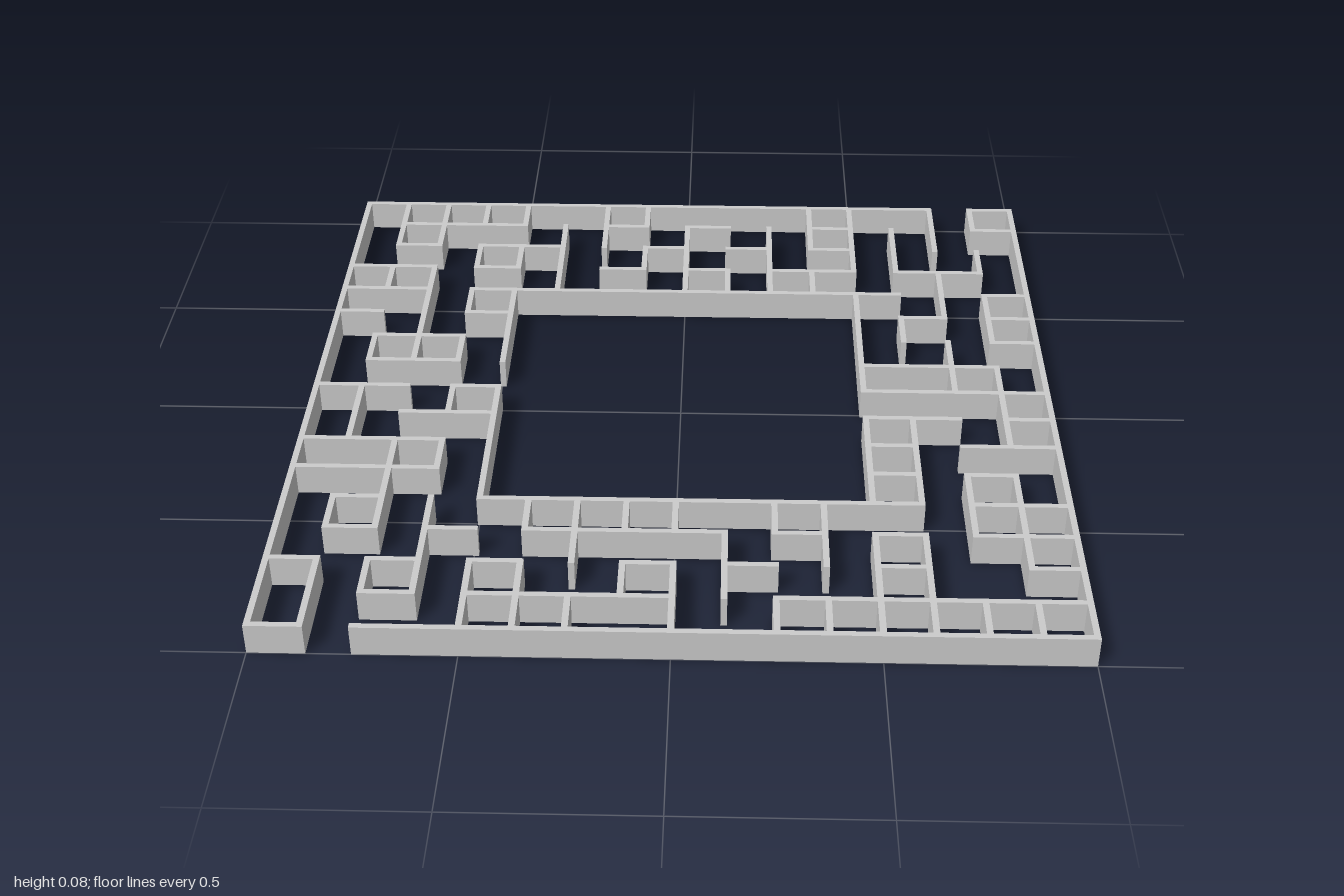
import * as THREE from 'three';

const CELLS = 16, T = 0.016, H = 0.083;
const PITCH = (2 - T) / CELLS;

// Wall runs per grid line, as "from-to" in cell units.
// Lines along x, from the back to the front.
const ROWS = [
  '0-14 15-16',
  '1-4 6-7 8-9 11-12 15-16',
  '1-2 3-5 7-8 9-10 11-12',
  '0-2 3-4 6-7 8-9 10-12 13-15',
  '0-2 3-13 15-16',
  '0-1 3-4 13-14 15-16',
  '1-3 15-16',
  '1-3 12-15',
  '0-2 3-4 12-16',
  '2-4 12-14 15-16',
  '0-3 12-13 14-16',
  '0-3 12-13 14-15',
  '1-2 4-13 14-16',
  '1-2 3-4 5-9 10-11 12-13 14-16',
  '0-1 2-3 4-5 7-8 9-10 12-13 15-16',
  '2-3 4-8 10-16',
  '0-1 2-16',
];

// Lines along z, from -x to +x.
const COLUMNS = [
  '0-16',
  '0-2 3-4 6-7 8-10 12-13 14-16',
  '0-2 3-7 10-13 14-15',
  '0-1 2-3 4-5 6-7 8-9 10-11 12-15',
  '0-1 2-3 4-7 8-12 14-16',
  '1-4 12-13 14-16',
  '0-2 12-14 15-16',
  '0-1 2-3 12-13 14-15',
  '1-4 12-13 14-16',
  '3-4 13-15',
  '1-4 12-13 15-16',
  '0-2 3-4 12-14 15-16',
  '0-3 4-8 9-12 13-16',
  '1-3 5-6 9-12 13-16',
  '0-2 3-5 6-8 11-13 15-16',
  '0-1 2-3 4-6 7-10 11-14 15-16',
  '0-16',
];

const at = (i) => (i - CELLS / 2) * PITCH;

export function createModel() {
  const maze = new THREE.Group();
  maze.name = 'maze';
  const material = new THREE.MeshStandardMaterial({ color: 0xcccccc });

  // One group of straight walls per direction; ends overlap at the corners
  const addWalls = (lines, alongX) => {
    const group = new THREE.Group();
    group.name = alongX ? 'crossWalls' : 'lengthWalls';
    lines.forEach((line, i) => {
      for (const run of line.split(' ')) {
        const [from, to] = run.split('-').map(Number);
        const length = (to - from) * PITCH + T;
        const middle = at((from + to) / 2);
        const wall = new THREE.Mesh(
          new THREE.BoxGeometry(alongX ? length : T, H, alongX ? T : length), material);
        wall.position.set(alongX ? middle : at(i), H / 2, alongX ? at(i) : middle);
        wall.name = i === 0 || i === CELLS ? 'outerWall' : 'innerWall';
        group.add(wall);
      }
    });
    maze.add(group);
  };

  addWalls(ROWS, true);
  addWalls(COLUMNS, false);
  return maze;
}
